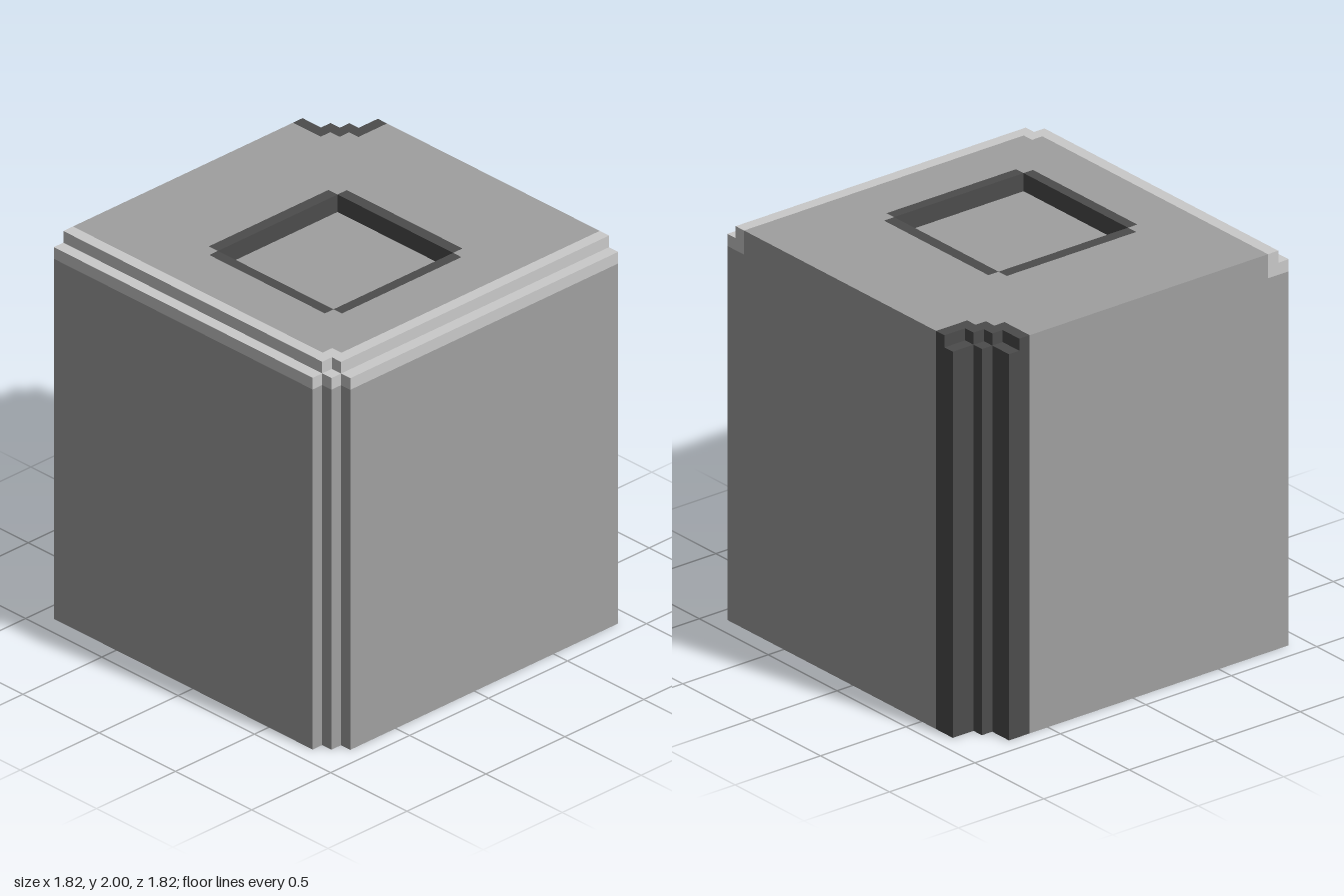
import * as THREE from 'three';

const U = 2 / 33; // block unit: 30 wide, 30 deep, 33 high

const mat = (name, color) => {
  const m = new THREE.MeshStandardMaterial({ color });
  m.name = name;
  return m;
};

export function createModel() {
  const grey = mat('mid grey', 0xa0a0a0);
  const light = mat('light grey', 0xcacaca);
  const dark = mat('dark grey', 0x4c4c4c);
  const model = new THREE.Group();
  model.name = 'steppedBlock';

  // upright prism from an [x, z] outline between two heights, in block units
  const toPoints = pts => pts.map(([x, z]) => new THREE.Vector2((x - 15) * U, (15 - z) * U));
  function prism(name, material, outline, y0, y1, hole) {
    const shape = new THREE.Shape(toPoints(outline));
    if (hole) shape.holes.push(new THREE.Path(toPoints(hole)));
    const geo = new THREE.ExtrudeGeometry(shape, { depth: (y1 - y0) * U, bevelEnabled: false });
    geo.rotateX(-Math.PI / 2);
    const mesh = new THREE.Mesh(geo, material);
    mesh.name = name;
    mesh.position.y = y0 * U;
    model.add(mesh);
  }
  const rect = (x0, z0, x1, z1) => [[x0, z0], [x1, z0], [x1, z1], [x0, z1]];

  // shared stepped runs around two opposite corners
  const darkSteps = [[0, 5], [3, 5], [3, 4], [4, 4], [4, 3], [5, 3], [5, 0]];
  const frontSteps = [[30, 0], [30, 28], [29, 28], [29, 29], [28, 29], [28, 30], [0, 30]];
  const lightInner = [[0, 28], [27, 28], [27, 27], [28, 27], [28, 0]];

  // square recess and its painted rim
  const a = 10.28, b = 22.78, c = 9.3, d = 23.68;
  const recess = rect(a, a, b, b);
  const cross = [[a, c], [b, c], [b, a], [d, a], [d, b], [b, b],
    [b, d], [a, d], [a, b], [c, b], [c, a], [a, a]];

  // main body, with the recess cut into the upper layers
  const body = [...darkSteps, ...frontSteps];
  const topSlab = [...darkSteps, ...[...lightInner].reverse()];
  prism('body', grey, body, 0, 30);
  prism('recessWall', grey, body, 30, 31, recess);
  prism('upperRecessWall', grey, topSlab, 31, 31.5, recess);
  prism('topSlab', grey, topSlab, 31.5, 33, cross);

  // dark rim strips
  for (const r of [[a, c, b, a], [a, b, b, d], [c, a, a, b], [b, a, d, b]])
    prism('recessRim', dark, rect(...r), 31.5, 33);

  // light stepped edge along the front and one side
  prism('lowerEdge', light, [...frontSteps, ...lightInner], 31, 32);
  prism('upperEdge', light,
    [[29, 0], [29, 28], [28, 28], [28, 29], [0, 29], ...lightInner], 32, 33);

  // dark stepped corner column, set back one step at the top
  prism('cornerColumn', dark,
    [...darkSteps, [3, 0], [3, 2], [2, 2], [2, 3], [0, 3]], 0, 32);
  prism('cornerColumnTop', dark,
    [...darkSteps, [4, 0], [4, 2], [3, 2], [3, 3], [2, 3], [2, 4], [0, 4]], 32, 33);

  return model;
}
